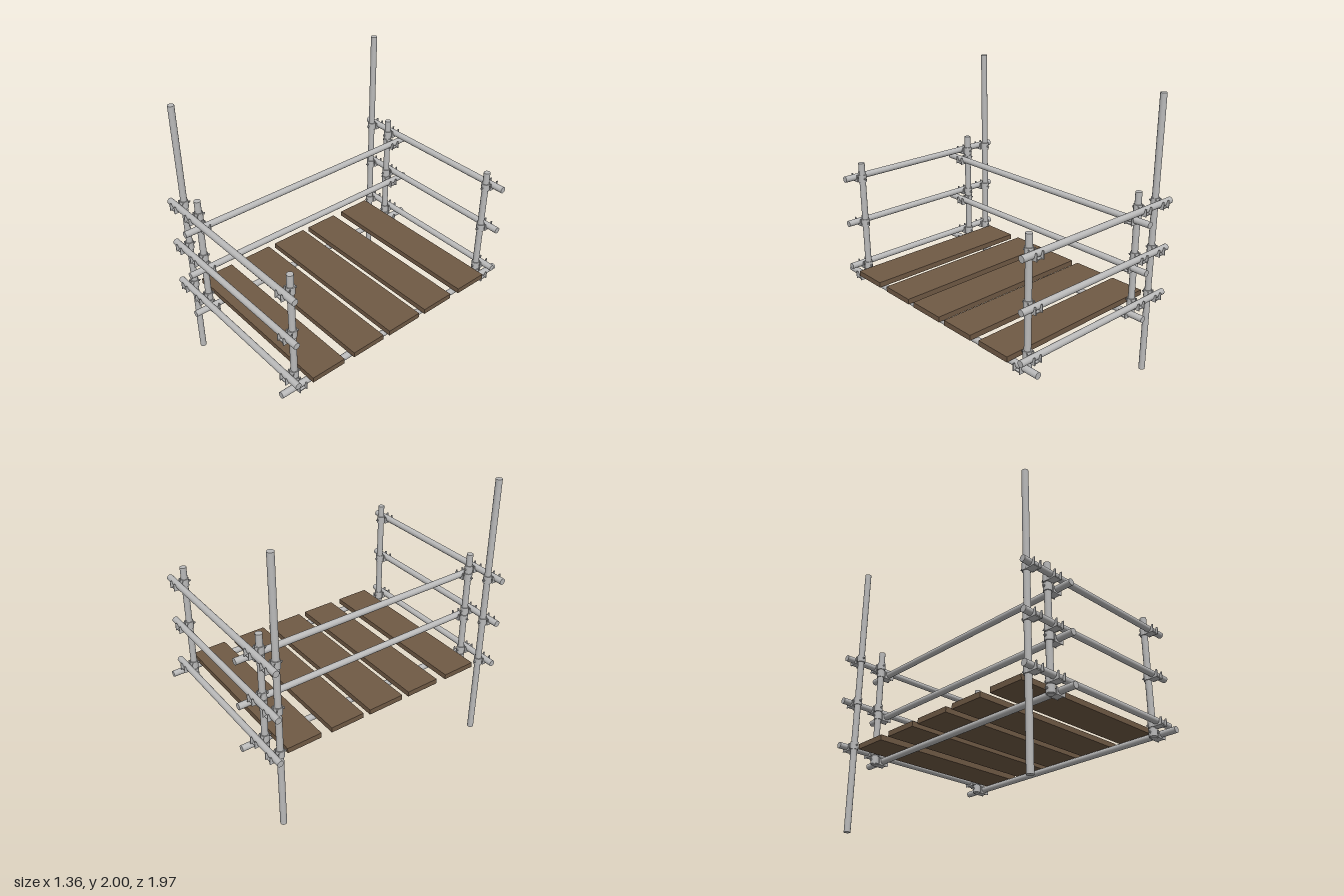
import * as THREE from 'three';

const steel = new THREE.MeshStandardMaterial({ color: 0xbababa });
steel.name = 'galvanised steel';
const timber = new THREE.MeshStandardMaterial({ color: 0x705a45 });
timber.name = 'brown timber';

const R = 0.0225;        // tube radius
const OFFSET = 0.053;    // distance from post axis to rail axis
const POST_Z = 0.84;
const LEVELS = [0.607, 0.943, 1.28];

function addMesh(parent, name, geometry, material, x = 0, y = 0, z = 0) {
  const mesh = new THREE.Mesh(geometry, material);
  mesh.name = name;
  mesh.position.set(x, y, z);
  parent.add(mesh);
  return mesh;
}

// Tube running along one axis
function tube(axis, length, radius = R, sides = 20) {
  const g = new THREE.CylinderGeometry(radius, radius, length, sides);
  if (axis === 'x') g.rotateZ(Math.PI / 2);
  if (axis === 'z') g.rotateX(Math.PI / 2);
  return g;
}

// Hook plate cut to cradle a rail from below and outside
function hookGeometry() {
  const s = new THREE.Shape();
  s.moveTo(0.018, -0.031);
  s.lineTo(0.092, -0.031);
  s.lineTo(0.092, 0.021);
  s.lineTo(OFFSET + R + 0.005, 0.021);
  s.lineTo(OFFSET + R, 0);
  s.absarc(OFFSET, 0, R, 0, -Math.PI, true);
  s.lineTo(0.026, 0.021);
  s.lineTo(0.018, 0.021);
  s.closePath();
  const g = new THREE.ExtrudeGeometry(s, { depth: 0.006, bevelEnabled: false, curveSegments: 10 });
  g.translate(0, 0, -0.003);
  g.rotateY(-Math.PI / 2);
  return g;
}

const sleeveGeo = tube('y', 0.054, 0.029);
const hookGeo = hookGeometry();
const seatGeo = new THREE.BoxGeometry(0.056, 0.007, 0.06);
const studGeo = tube('z', 0.024, 0.004, 8);
const nutGeo = tube('z', 0.006, 0.009, 6);

// Right-angle coupler: post along y, rail along local x on the +z side
function coupler(parent, x, y, z, turn) {
  const c = new THREE.Group();
  c.name = 'coupler';
  addMesh(c, 'sleeve', sleeveGeo, steel);
  for (const side of [-1, 1]) addMesh(c, 'hookPlate', hookGeo, steel, side * 0.027, 0, 0);
  addMesh(c, 'railSeat', seatGeo, steel, 0, -0.0265, 0.052);
  addMesh(c, 'stud', studGeo, steel, 0, 0, -0.034);
  addMesh(c, 'nut', nutGeo, steel, 0, 0, -0.035);
  c.position.set(x, y, z);
  c.rotation.y = turn;
  parent.add(c);
}

export function createModel() {
  const model = new THREE.Group();
  model.name = 'scaffoldPlatform';

  const tallGeo = tube('y', 2);
  const shortGeo = tube('y', 0.88);
  const sideGeo = tube('x', 1.354);
  const longGeo = tube('z', 1.97);

  // Two matching ends: standards, guard rails and their couplers
  for (const s of [1, -1]) {
    const end = new THREE.Group();
    end.name = s > 0 ? 'frontFrame' : 'backFrame';
    addMesh(end, 'tallPole', tallGeo, steel, -0.594, 1, s * POST_Z);
    for (const x of [-0.414, 0.56]) addMesh(end, 'shortPost', shortGeo, steel, x, 0.952, s * POST_Z);
    for (const y of LEVELS) {
      addMesh(end, 'endRail', sideGeo, steel, -0.006, y, s * (POST_Z + OFFSET));
      for (const x of [-0.594, -0.414, 0.56]) coupler(end, x, y, s * POST_Z, s > 0 ? 0 : Math.PI);
    }
    model.add(end);
  }

  // Long rails linking the two ends
  const longRails = [[-0.414, 0.545], [-0.414, 0.882], [-0.414, 1.218], [0.56, 0.545]];
  for (const [x, y] of longRails) {
    addMesh(model, 'longRail', longGeo, steel, x + OFFSET - 0.001, y, 0);
    for (const s of [1, -1]) coupler(model, x, y, s * POST_Z, Math.PI / 2);
  }

  // Deck boards: centre and width along z
  const boards = [[-0.657, 0.255], [-0.321, 0.255], [-0.002, 0.274], [0.318, 0.255], [0.655, 0.255]];
  for (const [z, width] of boards) {
    addMesh(model, 'deckBoard', new THREE.BoxGeometry(1.268, 0.038, width), timber, 0.042, 0.589, z);
  }

  return model;
}
